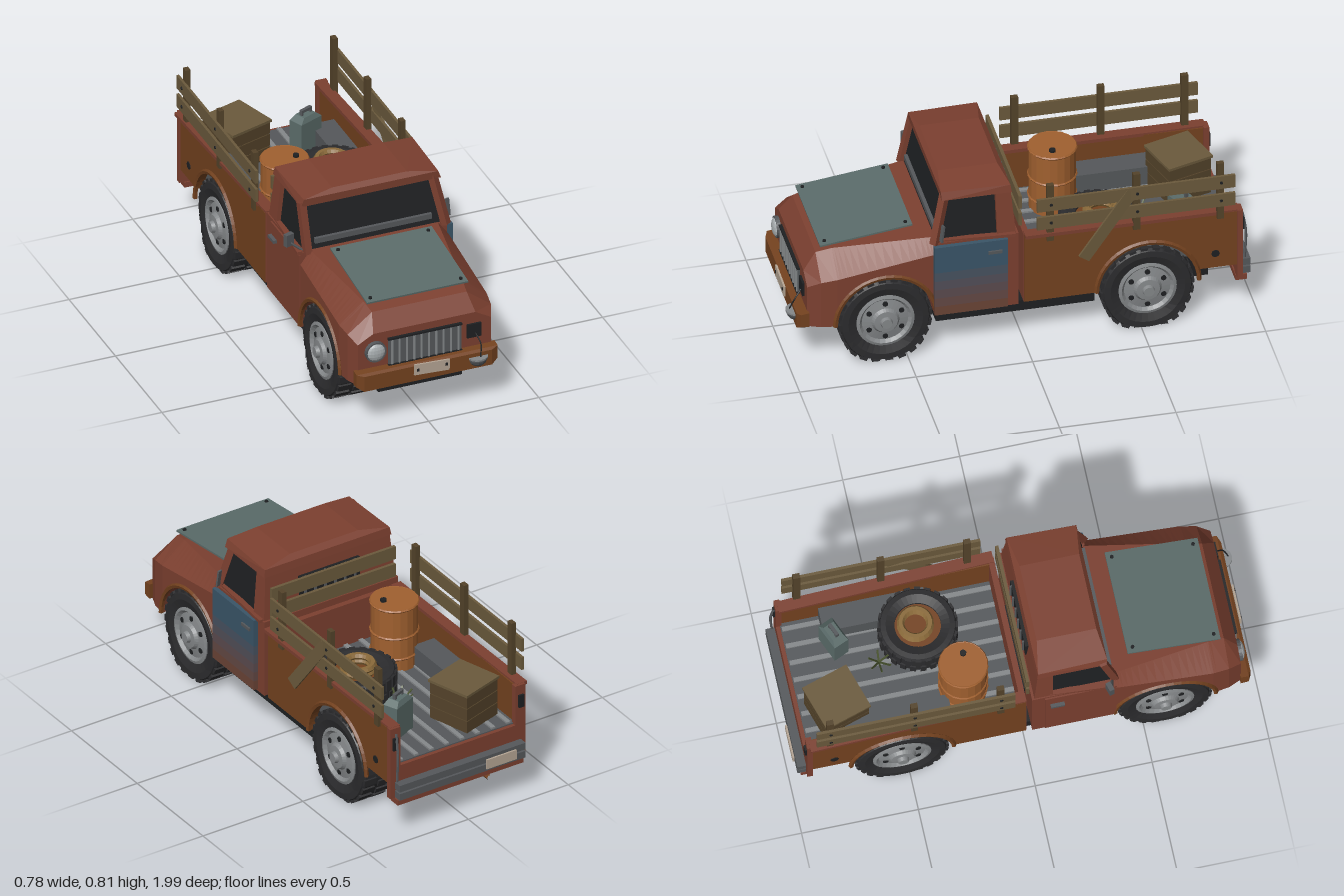
import * as THREE from 'three';
import { mergeGeometries } from 'three/addons/utils/BufferGeometryUtils.js';
import { ConvexGeometry } from 'three/addons/geometries/ConvexGeometry.js';

const C = { red: 0x7c4030, rust: 0x74421f, dark: 0x1e2022, tyre: 0x2b2b2d, steel: 0x55585b, rim: 0x85888a,
  wood: 0x6b5a3c, crate: 0x54432a, green: 0x5b6c6a, blue: 0x3a5568, orange: 0xa0602f, tan: 0x8a6a3a, pale: 0xb5a594 };
const V = (x, y, z) => new THREE.Vector3(x, y, z);
const mats = {};
const mat = c => mats[c] ??= new THREE.MeshStandardMaterial({ color: c, flatShading: true });

function add(parent, name, geo, color, x = 0, y = 0, z = 0) {
  const m = new THREE.Mesh(geo, mat(color));
  m.name = name;
  m.position.set(x, y, z);
  parent.add(m);
  return m;
}
const box = (p, name, w, h, d, x, y, z, c) => add(p, name, new THREE.BoxGeometry(w, h, d), c, x, y, z);
const cyl = (p, name, r, h, x, y, z, c, n = 16) => add(p, name, new THREE.CylinderGeometry(r, r, h, n), c, x, y, z);
const hull = (p, name, pts, c) => add(p, name, new ConvexGeometry(pts), c);
// square bar between two points
function bar(p, name, a, b, w, d, c) {
  const m = box(p, name, w, d, a.distanceTo(b), 0, 0, 0, c);
  m.position.copy(a).lerp(b, 0.5);
  m.lookAt(b);
  return m;
}
const tube = (p, name, pts, r, c) => add(p, name, new THREE.TubeGeometry(new THREE.CatmullRomCurve3(pts), 16, r, 6), c);
// mirrored points on both sides of x = 0
const both = list => list.flatMap(([x, y, z]) => [V(x, y, z), V(-x, y, z)]);

// skin over closed rings running along +z, with end caps
function loft(rings) {
  const pos = [], tri = (...v) => v.forEach(q => pos.push(...q));
  const n = rings[0].length;
  for (let i = 0; i < rings.length - 1; i++) for (let j = 0; j < n; j++) {
    const k = (j + 1) % n, a = rings[i][j], b = rings[i][k], c = rings[i + 1][k], d = rings[i + 1][j];
    tri(a, b, c, a, c, d);
  }
  [rings[0], rings.at(-1)].forEach((r, e) => {
    const mid = [0, 0.32, r[0][2]];
    for (let j = 0; j < n; j++) e ? tri(mid, r[j], r[(j + 1) % n]) : tri(mid, r[(j + 1) % n], r[j]);
  });
  const g = new THREE.BufferGeometry();
  g.setAttribute('position', new THREE.Float32BufferAttribute(pos, 3));
  g.computeVertexNormals();
  return g;
}

// hood and fenders, with the wheel arches cut into the lower edge
function frontBody() {
  const keys = [[0.38, 0.335, 0.56, 0.045, 0.06], [0.8, 0.335, 0.525, 0.11, 0.09], [0.87, 0.325, 0.508, 0.11, 0.085], [0.925, 0.302, 0.435, 0.07, 0.04]];
  const zs = [0.38];
  for (let i = 0; i <= 18; i++) zs.push(0.595 - 0.21 * Math.cos(i / 18 * Math.PI));
  zs.push(0.815, 0.87, 0.925);
  return loft(zs.map(z => {
    const i = z < 0.8 ? 0 : z < 0.87 ? 1 : 2, a = keys[i], b = keys[i + 1], t = (z - a[0]) / (b[0] - a[0]);
    const [, w, top, inset, drop] = a.map((v, k) => v + (b[k] - v) * t);
    const low = 0.2 + Math.sqrt(Math.max(0, 0.21 ** 2 - (z - 0.595) ** 2));
    const half = [[0.18, 0.18], [0.18, low], [w, low], [w, top - drop], [w - inset, top]];
    return [...half.map(([x, y]) => [x, y, z]), ...half.reverse().map(([x, y]) => [-x, y, z])];
  }));
}

// tyre with tread blocks, flattened and bulged where it meets the ground
function tyreGeometry(r, w, squash) {
  const profile = [[0.58, -0.42], [0.8, -0.5], [0.93, -0.48], [0.97, -0.38], [0.97, 0.38], [0.93, 0.48], [0.8, 0.5], [0.58, 0.42], [0.58, -0.42]];
  const parts = [new THREE.LatheGeometry(profile.map(([a, b]) => new THREE.Vector2(a * r, b * w)), 36).toNonIndexed()];
  for (let i = 0; i < 24; i++) for (const s of [-1, 1])
    parts.push(new THREE.BoxGeometry(r * 0.06, w * 0.4, r * 0.15).translate(r * 0.975, s * w * 0.25, 0)
      .rotateY((i + s * 0.25) / 24 * Math.PI * 2).toNonIndexed());
  const g = mergeGeometries(parts).rotateZ(-Math.PI / 2), p = g.attributes.position;
  if (squash) for (let i = 0; i < p.count; i++) {
    const y = p.getY(i), k = Math.max(0, (-y / r - 0.5) / 0.5);
    p.setXYZ(i, p.getX(i) * (1 + 0.2 * k), Math.max(y, -squash), p.getZ(i) * (1 + 0.12 * k));
  }
  g.computeVertexNormals();
  return g;
}

function wheel(parent, side, y, z, name) {
  const g = new THREE.Group();
  g.name = name;
  g.position.set(side * 0.262, y, z);
  g.rotation.y = side < 0 ? Math.PI : 0;
  parent.add(g);
  add(g, 'tyre', tyreGeometry(0.2, 0.145, y), C.tyre);
  const disc = [[0, -0.05], [0.12, -0.05], [0.125, 0.068], [0.112, 0.072], [0.1, 0.058], [0.06, 0.066], [0.05, 0.08], [0.026, 0.082], [0.022, 0.098], [0, 0.098]];
  add(g, 'rim', new THREE.LatheGeometry(disc.map(q => new THREE.Vector2(...q)), 28).rotateZ(-Math.PI / 2), C.rim);
  for (let i = 0; i < 6; i++) {
    const a = i / 6 * Math.PI * 2;
    cyl(g, 'rimHole', 0.012, 0.012, 0.06, 0.08 * Math.cos(a), 0.08 * Math.sin(a), C.dark, 8).rotation.z = Math.PI / 2;
  }
}

export function createModel() {
  const truck = new THREE.Group();
  truck.name = 'pickupTruck';
  truck.position.x = 0.012;
  const sides = [-1, 1];

  // chassis and running gear
  box(truck, 'chassis', 0.38, 0.065, 1.7, 0, 0.15, 0.03, C.dark);
  box(truck, 'underside', 0.38, 0.14, 0.95, 0, 0.24, -0.45, C.dark);
  for (const s of sides) box(truck, 'sill', 0.1, 0.05, 0.68, s * 0.24, 0.155, 0.03, C.dark);
  tube(truck, 'exhaust', [V(-0.17, 0.115, 0.35), V(-0.17, 0.1, 0), V(-0.17, 0.1, -0.5), V(-0.17, 0.11, -0.92)], 0.012, C.rust);
  for (const s of sides) {
    wheel(truck, s, 0.195, 0.595, 'frontWheel');
    wheel(truck, s, 0.185, -0.53, 'rearWheel');
    for (const [z, r] of [[0.595, 0.216], [-0.53, 0.22]])
      add(truck, 'archTrim', new THREE.TorusGeometry(r, 0.011, 5, 20, Math.PI).rotateY(Math.PI / 2), C.rust, s * 0.334, 0.2, z);
  }

  // front end
  add(truck, 'frontBody', frontBody(), C.red);
  const panel = new THREE.Group();
  panel.name = 'hoodPanel';
  panel.position.set(0, 0.568, 0.655);
  panel.rotation.x = 0.125;
  truck.add(panel);
  box(panel, 'sheet', 0.46, 0.008, 0.4, 0, 0, 0, C.green);
  for (const x of [-0.205, 0.205]) for (const z of [-0.175, 0.175]) cyl(panel, 'bolt', 0.008, 0.008, x, 0.006, z, C.dark, 8);
  box(truck, 'grille', 0.33, 0.125, 0.012, 0, 0.335, 0.926, C.steel);
  for (let i = 0; i < 10; i++) box(truck, 'grilleSlat', 0.007, 0.12, 0.012, -0.15 + i / 9 * 0.3, 0.335, 0.932, C.rim);
  for (const y of [0.272, 0.398]) box(truck, 'grilleFrame', 0.335, 0.008, 0.018, 0, y, 0.93, C.dark);
  cyl(truck, 'headlightRing', 0.047, 0.025, -0.225, 0.352, 0.93, C.steel, 20).rotation.x = Math.PI / 2;
  add(truck, 'headlight', new THREE.SphereGeometry(0.041, 16, 8).scale(1, 1, 0.4), 0xaab0b2, -0.225, 0.352, 0.94);
  box(truck, 'emptyLampSocket', 0.064, 0.064, 0.02, 0.223, 0.352, 0.925, C.dark);
  tube(truck, 'lampCable', [V(0.228, 0.34, 0.935), V(0.24, 0.3, 0.965), V(0.23, 0.25, 0.985)], 0.003, C.dark);
  add(truck, 'hangingLamp', new THREE.SphereGeometry(0.045, 14, 6, 0, Math.PI * 2, Math.PI / 2, Math.PI / 2), C.steel, 0.228, 0.24, 0.955);
  cyl(truck, 'hangingLampLid', 0.046, 0.008, 0.228, 0.24, 0.955, C.rim, 14);
  hull(truck, 'frontBumper', both([[0.32, 0.205, 0.92], [0.32, 0.275, 0.92], [0.32, 0.21, 0.955], [0.32, 0.27, 0.955], [0.29, 0.19, 0.968], [0.29, 0.262, 0.968]]), C.rust);
  box(truck, 'frontPlate', 0.16, 0.05, 0.008, 0.014, 0.245, 0.974, C.pale).rotation.z = -0.05;
  for (const x of [-0.05, 0.078]) box(truck, 'plateBolt', 0.01, 0.012, 0.006, x, 0.247, 0.979, C.dark);

  // cab
  box(truck, 'cabLower', 0.67, 0.36, 0.36, 0, 0.375, 0.205, C.red);
  hull(truck, 'windows', both([[0.312, 0.55, 0.05], [0.312, 0.55, 0.375], [0.29, 0.77, 0.07], [0.29, 0.77, 0.325]]), C.dark);
  hull(truck, 'cabBack', both([[0.325, 0.55, 0.035], [0.325, 0.55, 0.065], [0.298, 0.77, 0.055], [0.298, 0.77, 0.08]]), C.red);
  hull(truck, 'roof', both([[0.318, 0.755, 0.05], [0.318, 0.755, 0.35], [0.312, 0.79, 0.055], [0.305, 0.79, 0.352], [0.17, 0.81, 0.08], [0.17, 0.81, 0.335]]), C.red);
  for (const s of sides) {
    bar(truck, 'windshieldPillar', V(s * 0.314, 0.545, 0.385), V(s * 0.297, 0.77, 0.332), 0.032, 0.03, C.red);
    hull(truck, 'rearPillar', [0.3, 0.33].flatMap(x => [V(s * x, 0.55, 0.035), V(s * x, 0.55, 0.115), V(s * (x - 0.02), 0.77, 0.055), V(s * (x - 0.02), 0.77, 0.12)]), C.red);
    bar(truck, 'windowSill', V(s * 0.325, 0.555, 0.04), V(s * 0.325, 0.555, 0.385), 0.025, 0.014, C.red);
  }
  box(truck, 'dashboard', 0.53, 0.024, 0.015, 0, 0.594, 0.372, C.steel);
  box(truck, 'rearWindow', 0.3, 0.1, 0.02, 0, 0.66, 0.045, C.dark);
  for (let i = 0; i < 6; i++) box(truck, 'rearWindowBar', 0.008, 0.1, 0.012, -0.125 + i * 0.05, 0.66, 0.033, C.steel);
  // doors; the mismatched one fades from blue to rust
  box(truck, 'rightDoor', 0.012, 0.34, 0.305, -0.336, 0.375, 0.232, C.red);
  for (let i = 0; i < 8; i++)
    box(truck, 'leftDoor', 0.025, 0.0425, 0.315, 0.343, 0.226 + i * 0.0425, 0.232,
      new THREE.Color(0x6b4436).lerp(new THREE.Color(C.blue), Math.min(1, i / 5)).getHex());
  for (const s of sides) box(truck, 'doorHandle', 0.016, 0.014, 0.06, s * 0.355, 0.49, 0.13, C.steel);
  // mirrors, one bent
  tube(truck, 'mirrorArm', [V(-0.32, 0.56, 0.37), V(-0.345, 0.58, 0.365), V(-0.37, 0.6, 0.36)], 0.006, C.steel);
  box(truck, 'mirror', 0.04, 0.056, 0.022, -0.373, 0.612, 0.35, C.steel).rotation.y = 0.3;
  bar(truck, 'bentMirror', V(0.335, 0.57, 0.36), V(0.356, 0.645, 0.35), 0.02, 0.008, C.steel);

  // cargo bed
  const shape = new THREE.Shape();
  shape.moveTo(0, 0.2).lineTo(0, 0.538).lineTo(-0.92, 0.518).lineTo(-0.92, 0.25).lineTo(-0.74, 0.25);
  shape.absarc(-0.53, 0.2, 0.215, Math.PI - 0.23, 0, true).lineTo(0, 0.2);
  for (const s of sides) {
    const g = new THREE.ExtrudeGeometry(shape, { depth: 0.035, bevelEnabled: false, curveSegments: 16 }).rotateY(-Math.PI / 2);
    add(truck, 'bedSide', g, C.rust, s > 0 ? 0.333 : -0.298);
    bar(truck, 'bedRail', V(s * 0.318, 0.538, 0), V(s * 0.318, 0.518, -0.925), 0.05, 0.016, C.red);
    box(truck, 'rearPost', 0.05, 0.34, 0.025, s * 0.313, 0.355, -0.925, C.red);
    box(truck, 'tailLight', 0.025, 0.06, 0.012, s * 0.315, 0.45, -0.94, C.dark);
    box(truck, 'wheelWell', 0.11, 0.1, 0.45, s * 0.245, 0.385, -0.53, C.steel);
    cyl(truck, 'sideHole', 0.018, 0.006, s * 0.333, 0.32, -0.82, C.dark, 8).rotation.z = Math.PI / 2;
  }
  box(truck, 'bedFloor', 0.6, 0.04, 0.91, 0, 0.32, -0.465, C.steel);
  for (let i = 0; i < 8; i++) box(truck, 'floorRib', 0.02, 0.01, 0.9, -0.27 + i * 0.077, 0.343, -0.465, C.rim);
  box(truck, 'bedFront', 0.66, 0.34, 0.025, 0, 0.37, -0.01, C.red);
  box(truck, 'rearPanel', 0.66, 0.14, 0.025, 0, 0.265, -0.925, C.red);
  box(truck, 'rearLip', 0.63, 0.025, 0.05, 0, 0.17, -0.935, C.red);
  for (const y of [0.205, 0.245]) box(truck, 'rearBumper', 0.63, 0.032, 0.04, 0, y, -0.955, C.steel);
  box(truck, 'rearPlate', 0.15, 0.045, 0.008, -0.19, 0.225, -0.981, C.pale);
  tube(truck, 'tailChain', [V(0.31, 0.5, -0.94), V(0.312, 0.4, -0.955), V(0.312, 0.27, -0.95)], 0.006, C.steel);

  // stake sides and headboard
  for (const s of sides) {
    for (const z of [-0.11, -0.48, -0.84]) box(truck, 'stake', 0.022, 0.28, 0.03, s * 0.334, 0.64, z, C.crate);
    for (const y of [0.6, 0.69]) {
      box(truck, 'sidePlank', 0.012, 0.062, 0.85, s * 0.35, y, -0.475, C.wood);
      for (const z of [-0.11, -0.48, -0.84]) cyl(truck, 'plankBolt', 0.007, 0.006, s * 0.357, y, z, C.dark, 6).rotation.z = Math.PI / 2;
    }
  }
  bar(truck, 'loosePlank', V(0.362, 0.41, -0.245), V(0.362, 0.7, -0.46), 0.01, 0.055, C.wood).rotateZ(0);
  for (const y of [0.605, 0.69]) box(truck, 'headboardPlank', 0.62, 0.062, 0.014, 0, y, 0.012, C.wood);

  // load in the bed
  const crate = new THREE.Group();
  crate.name = 'crate';
  crate.position.set(-0.14, 0.345, -0.77);
  crate.rotation.y = 0.3;
  truck.add(crate);
  for (let i = 0; i < 3; i++) box(crate, 'crateSlat', 0.2, 0.056, 0.2, 0, 0.03 + i * 0.06, 0, C.crate);
  box(crate, 'crateCore', 0.19, 0.17, 0.19, 0, 0.09, 0, C.dark);
  box(crate, 'crateLid', 0.212, 0.012, 0.212, 0, 0.184, 0, C.wood);
  cyl(truck, 'drum', 0.1, 0.3, -0.148, 0.49, -0.23, C.orange, 20);
  for (const y of [0.4, 0.5, 0.635]) add(truck, 'drumRing', new THREE.TorusGeometry(0.1, 0.006, 5, 20).rotateX(Math.PI / 2), C.orange, -0.148, y, -0.23);
  cyl(truck, 'drumCap', 0.014, 0.012, -0.1, 0.645, -0.22, C.dark, 8);
  add(truck, 'spareTyre', tyreGeometry(0.168, 0.12, 0).rotateZ(Math.PI / 2), C.tyre, 0.128, 0.41, -0.365);
  cyl(truck, 'spareRim', 0.1, 0.08, 0.128, 0.41, -0.365, C.rust, 20);
  for (let i = 0; i < 2; i++) add(truck, 'ropeCoil', new THREE.TorusGeometry(0.062, 0.016, 6, 20).rotateX(Math.PI / 2), C.tan, 0.128, 0.468 + i * 0.022, -0.375);
  const can = new THREE.Group();
  can.name = 'fuelCan';
  can.position.set(0.155, 0.345, -0.72);
  can.rotation.y = 0.4;
  truck.add(can);
  box(can, 'canBody', 0.12, 0.15, 0.07, 0, 0.075, 0, C.green);
  hull(can, 'canShoulder', both([[0.06, 0.15, -0.035], [0.06, 0.15, 0.035], [0.035, 0.172, -0.025], [0.035, 0.172, 0.025]]), C.green);
  box(can, 'canHandle', 0.06, 0.012, 0.015, 0, 0.19, 0, C.steel);
  for (const x of [-0.025, 0.025]) box(can, 'canHandlePost', 0.01, 0.025, 0.015, x, 0.178, 0, C.steel);
  for (let i = 0; i < 6; i++) {
    const a = i * 1.05;
    bar(truck, 'weed', V(0.03, 0.345, -0.55), V(0.03 + 0.05 * Math.cos(a), 0.41, -0.55 + 0.05 * Math.sin(a)), 0.008, 0.003, 0x4a5530);
  }
  return truck;
}
